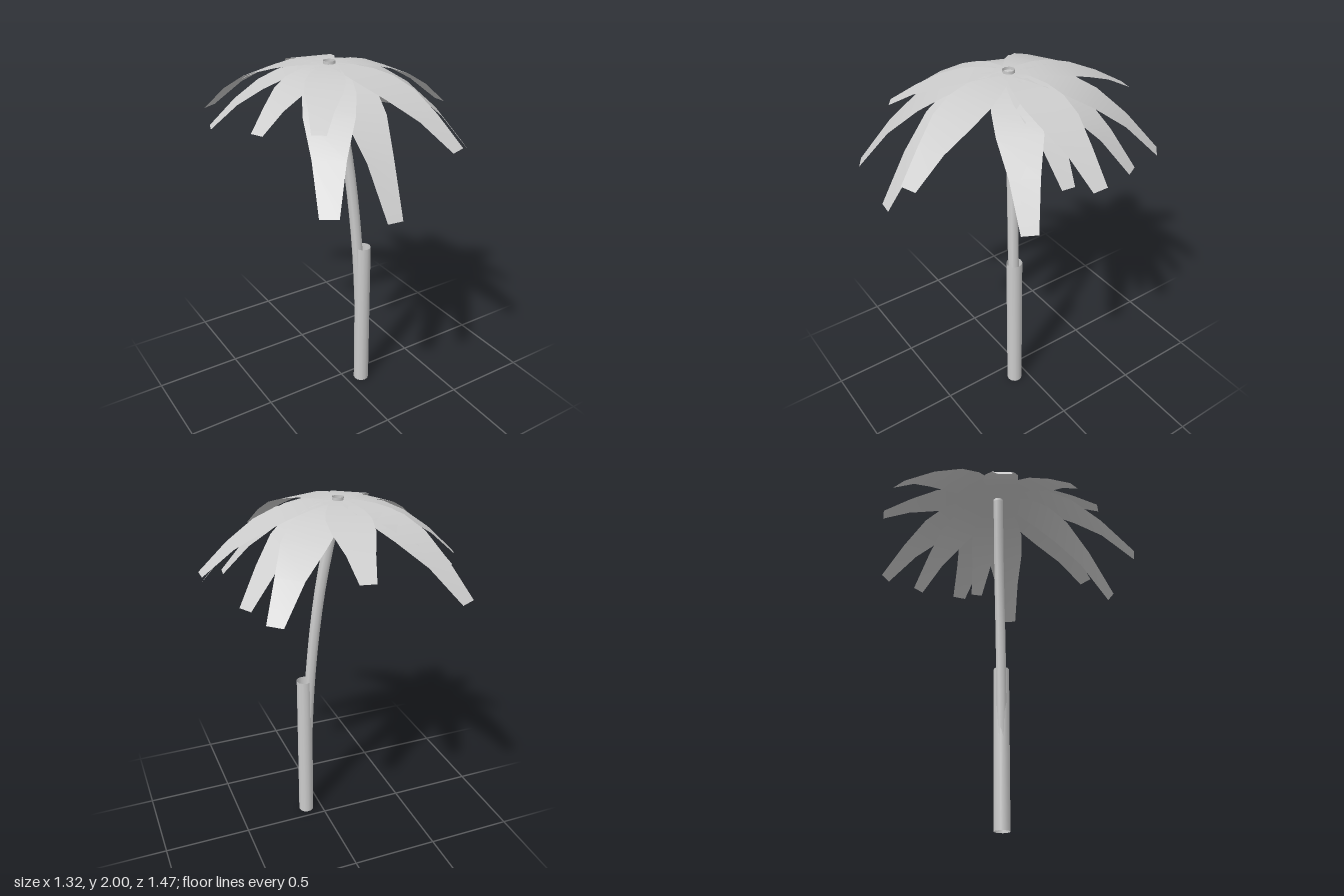
import * as THREE from 'three';

const HUB = new THREE.Vector3(-0.07, 1.985, 0);

// Half-width of a frond along its length (fraction, half-width for a frond 0.73 long)
const OUTLINE = [[0, 0.035], [0.13, 0.068], [0.26, 0.1], [0.4, 0.119], [0.57, 0.112], [0.78, 0.073], [1, 0.042]];

// Frond tips: x, y, z
const TIPS = [
  [0.66, 1.68, 0], [0.53, 1.65, 0.08], [0.58, 1.52, 0.335], [0.18, 1.7, 0.72],
  [-0.15, 1.41, 0.7], [-0.485, 1.5, 0.665], [-0.425, 1.82, 0.485], [-0.605, 1.78, 0.235],
  [-0.65, 1.7, -0.2], [-0.42, 1.765, -0.54], [-0.44, 1.64, -0.71], [0.06, 1.79, -0.68],
  [0.455, 1.6, -0.56], [0.525, 1.6, -0.325],
];

// A thin drooping ribbon, level across its width
function frondGeometry([x, y, z]) {
  const dx = x - HUB.x, dz = z - HUB.z;
  const length = Math.hypot(dx, dz);
  const side = [-dz / length, dx / length];
  const scale = length / 0.73;
  const positions = [], index = [];
  OUTLINE.forEach(([t, half], i) => {
    const h = HUB.y - (HUB.y - y) * Math.pow(t, 2.25);
    for (const s of [-1, 1]) {
      positions.push(HUB.x + dx * t + s * side[0] * half * scale, h, HUB.z + dz * t + s * side[1] * half * scale);
    }
    if (i > 0) {
      const a = (i - 1) * 2;
      index.push(a, a + 1, a + 2, a + 1, a + 3, a + 2);
    }
  });
  const geometry = new THREE.BufferGeometry();
  geometry.setAttribute('position', new THREE.Float32BufferAttribute(positions, 3));
  geometry.setIndex(index);
  geometry.computeVertexNormals();
  return geometry;
}

export function createModel() {
  const group = new THREE.Group();
  const grey = new THREE.MeshStandardMaterial({ color: 0xcccccc, side: THREE.DoubleSide });
  grey.name = 'pale grey';

  const add = (name, geometry) => {
    const mesh = new THREE.Mesh(geometry, grey);
    mesh.name = name;
    group.add(mesh);
    return mesh;
  };

  // Straight lower sleeve of the trunk
  add('lowerTrunk', new THREE.CylinderGeometry(0.045, 0.045, 0.925, 12, 1, true)).position.set(0.095, 0.4675, 0.08);

  // Leaning upper trunk
  const path = new THREE.CatmullRomCurve3([
    [0.092, 0.02, 0.078], [0.083, 0.5, 0.074], [0.06, 1, 0.063], [0.012, 1.5, 0.035], [-0.07, 1.98, -0.003],
  ].map((p) => new THREE.Vector3(...p)));
  add('upperTrunk', new THREE.TubeGeometry(path, 16, 0.031, 8, false));

  // Open collar where the fronds meet
  add('crownCollar', new THREE.CylinderGeometry(0.032, 0.032, 0.03, 8, 1, true)).position.set(-0.07, 1.985, -0.004);

  // Fronds
  for (const tip of TIPS) add('frond', frondGeometry(tip));

  return group;
}
